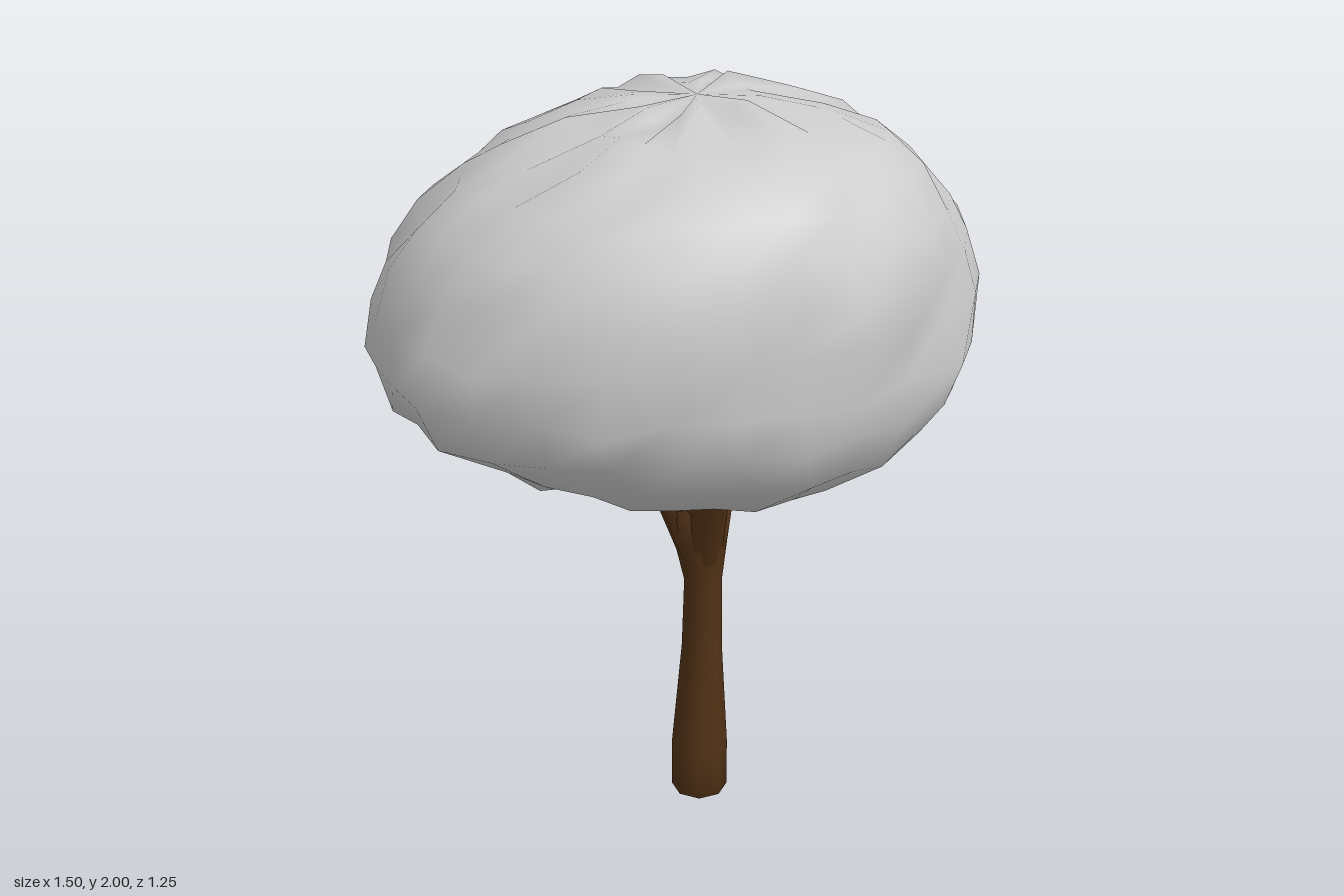
import * as THREE from 'three';
import { mergeVertices } from 'three/addons/utils/BufferGeometryUtils.js';

const bark = new THREE.MeshStandardMaterial({ color: 0x523216 });
const leaf = new THREE.MeshStandardMaterial({ color: 0xcccccc });

// Repeatable value in -1..1 for a pair of integers
function noise(i, j) {
  const s = Math.sin(i * 127.1 + j * 311.7) * 43758.5453;
  return (s - Math.floor(s)) * 2 - 1;
}

// Smooth closed skin over a list of rings of points, ordered bottom to top
function skin(rings) {
  const n = rings[0].length;
  const index = [];
  for (let i = 0; i < rings.length - 1; i++) {
    for (let j = 0; j < n; j++) {
      const a = i * n + j, b = i * n + (j + 1) % n;
      index.push(a, a + n, b, b, a + n, b + n);
    }
  }
  let geo = new THREE.BufferGeometry();
  geo.setAttribute('position', new THREE.Float32BufferAttribute(rings.flat(2), 3));
  geo.setIndex(index);
  geo = mergeVertices(geo, 1e-5);
  geo.computeVertexNormals();
  return geo;
}

// Horizontal round rings [x, y, z, radius], with closed ends
function limb(name, sections, sides = 8) {
  const first = sections[0], last = sections[sections.length - 1];
  const all = [[...first.slice(0, 3), 0], ...sections, [...last.slice(0, 3), 0]];
  const mesh = new THREE.Mesh(skin(all.map(([x, y, z, r]) =>
    Array.from({ length: sides }, (_, j) => {
      const t = (j + 0.5) / sides * Math.PI * 2;
      return [x + r * Math.cos(t), y, z + r * Math.sin(t)];
    }))), bark);
  mesh.name = name;
  return mesh;
}

// Lumpy crown built from rings: y, min x, max x, min z, max z
function crown() {
  const levels = [
    [1.07, 0.06, 0.06, 0, 0],
    [1.06, -0.1, 0.22, -0.12, 0.16],
    [1.05, -0.25, 0.4, -0.24, 0.32],
    [1.095, -0.4, 0.55, -0.4, 0.46],
    [1.18, -0.57, 0.67, -0.54, 0.55],
    [1.29, -0.72, 0.73, -0.62, 0.61],
    [1.4, -0.77, 0.74, -0.65, 0.64],
    [1.52, -0.77, 0.75, -0.63, 0.63],
    [1.63, -0.73, 0.71, -0.58, 0.61],
    [1.73, -0.66, 0.65, -0.52, 0.58],
    [1.82, -0.55, 0.57, -0.43, 0.53],
    [1.89, -0.43, 0.48, -0.35, 0.46],
    [1.945, -0.28, 0.35, -0.24, 0.35],
    [1.97, -0.12, 0.19, -0.11, 0.18],
    [1.975, 0.05, 0.05, 0.03, 0.03]
  ];
  const sides = 30;
  const rings = levels.map(([y, x0, x1, z0, z1], i) =>
    Array.from({ length: sides }, (_, j) => {
      const t = j / sides * Math.PI * 2;
      const c = Math.cos(t), s = Math.sin(t);
      // slightly squared ellipse, fuller high at the front left, with lumps and a few sharp tufts
      const square = Math.pow(Math.abs(c) ** 2.2 + Math.abs(s) ** 2.2, -1 / 2.2);
      const corner = 0.03 * (2 * y - 1.8) * Math.cos(t - 0.7) * Math.abs(Math.sin(2 * t));
      const lumps = 0.01 * Math.sin(3 * t + y * 9) + 0.05 * noise(i, j) ** 3;
      const k = square * (0.97 + corner + lumps);
      const pole = i === 0 || i === levels.length - 1;
      return [
        (x0 + x1) / 2 + (x1 - x0) / 2 * c * k,
        y + (pole ? 0 : 0.032 * noise(j, i + 40) ** 3),
        (z0 + z1) / 2 + (z1 - z0) / 2 * s * k
      ];
    }));
  const mesh = new THREE.Mesh(skin(rings), leaf);
  mesh.name = 'crown';
  return mesh;
}

export function createModel() {
  const tree = new THREE.Group();
  tree.name = 'tree';

  // Trunk with a thick foot, flaring into a solid fork
  tree.add(limb('trunk', [
    [0.083, 0, -0.008, 0.076], [0.083, 0.14, -0.008, 0.076],
    [0.088, 0.45, -0.008, 0.054], [0.09, 0.65, -0.008, 0.05],
    [0.083, 0.77, -0.01, 0.07], [0.078, 0.885, -0.01, 0.088]
  ]));

  // Three branches from the fork: x, z and radius at the fork, then x, z inside the crown
  const branches = [
    ['leftBackBranch', 0.125, -0.065, 0.06, 0.34, -0.32],
    ['rightBranch', 0.015, -0.02, 0.05, -0.165, -0.03],
    ['frontBranch', 0.075, 0.055, 0.052, 0.075, 0.195]
  ];
  for (const [name, x, z, r, tx, tz] of branches) {
    tree.add(limb(name, [
      [0.09, 0.66, -0.008, 0.04], [x, 0.89, z, r], [tx, 1.16, tz, 0.045]
    ]));
  }

  tree.add(crown());
  return tree;
}
